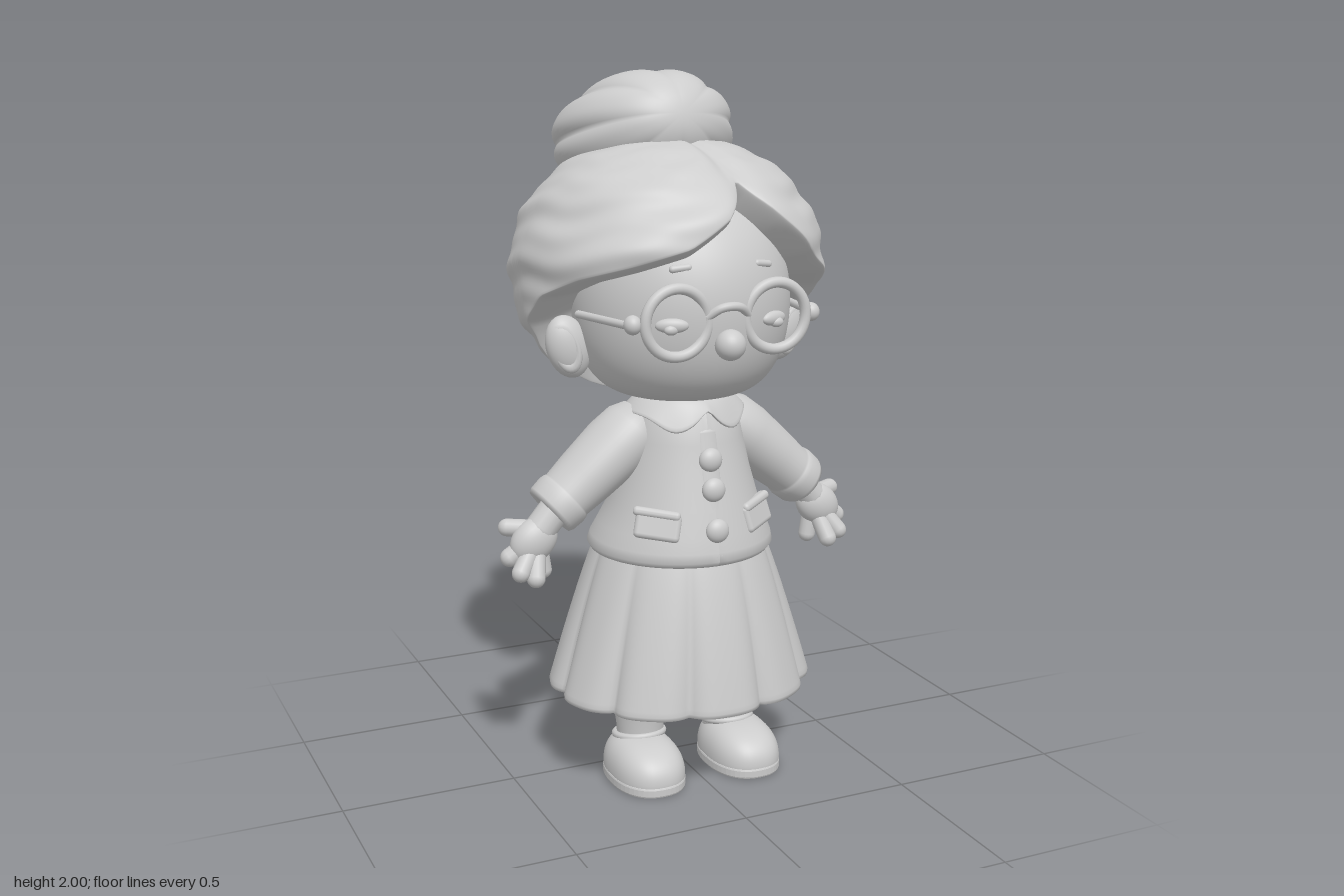
import * as THREE from 'three';
import { ParametricGeometry } from 'three/addons/geometries/ParametricGeometry.js';
import { RoundedBoxGeometry } from 'three/addons/geometries/RoundedBoxGeometry.js';
import { mergeVertices } from 'three/addons/utils/BufferGeometryUtils.js';

const { sin, cos, PI, abs, pow, exp, acos, sign, min, max } = Math;
const V = (x, y, z) => new THREE.Vector3(x, y, z);
const lerp = THREE.MathUtils.lerp;
const UP = V(0, 1, 0);

export function createModel() {
  const model = new THREE.Group();
  const clay = new THREE.MeshStandardMaterial({ color: 0xcccccc, side: THREE.DoubleSide });
  clay.name = 'lightGrey';

  const add = (name, geo, x = 0, y = 0, z = 0) => {
    const m = new THREE.Mesh(geo, clay);
    m.name = name;
    m.position.set(x, y, z);
    model.add(m);
    return m;
  };
  // Surface wrapped around the y axis: fn(angle from the front, v going down) -> [x, y, z], welded at the seam
  const wrap = (fn, around, down) => {
    const g = new ParametricGeometry((u, v, t) => t.set(...fn(PI - 2 * PI * u, v)), around, down);
    g.deleteAttribute('uv');
    g.deleteAttribute('normal');
    const welded = mergeVertices(g, 1e-5);
    welded.computeVertexNormals();
    return welded;
  };
  const blob = (rx, ry, rz) => wrap((a, v) => {
    const s = sin(v * PI);
    return [rx * s * sin(a), ry * cos(v * PI), rz * s * cos(a)];
  }, 32, 16);
  // Align a part built along y so that it runs from a to b
  const aim = (m, a, b) => { m.quaternion.setFromUnitVectors(UP, b.clone().sub(a).normalize()); return m; };
  const rod = (name, a, b, r) => {
    const c = a.clone().lerp(b, 0.5);
    return aim(add(name, new THREE.CapsuleGeometry(r, a.distanceTo(b), 6, 14), c.x, c.y, c.z), a, b);
  };
  const lathe = (pts, n = 40) => new THREE.LatheGeometry(pts.map(([r, y]) => new THREE.Vector2(r, y)), n);

  // Head with full cheeks, nose and neck
  add('head', wrap((a, v) => {
    const c = cos(v * PI), s = pow(max(0, sin(v * PI)), c < 0 ? 0.47 : 0.7);
    return [0.305 * s * sin(a), (c < 0 ? 0.268 : 0.3) * c, 0.315 * s * cos(a)];
  }, 64, 48), 0, 1.38, 0.06);
  add('nose', blob(0.042, 0.042, 0.042), 0, 1.3, 0.378);
  add('neck', new THREE.CylinderGeometry(0.11, 0.12, 0.16, 28), 0, 1.11, 0.075);

  // Hair: a cap whose lower edge follows the hairline (degrees from the front, height)
  const hairline = [[-180, 1.115], [-115, 1.115], [-100, 1.2], [-91, 1.33], [-75, 1.42], [-55, 1.475], [-35, 1.515],
    [-15, 1.56], [0, 1.63], [9, 1.7], [13, 1.74], [17, 1.7], [25, 1.625], [38, 1.535], [55, 1.465], [75, 1.405],
    [91, 1.33], [100, 1.2], [115, 1.115], [180, 1.115]];
  const edgeAt = (d) => {
    let i = 0;
    while (i < hairline.length - 2 && hairline[i + 1][0] < d) i++;
    const [d0, y0] = hairline[i], [d1, y1] = hairline[i + 1];
    return lerp(y0, y1, min(1, max(0, (d - d0) / (d1 - d0))));
  };
  add('hair', wrap((a, v) => {
    const d = a * 180 / PI, thEdge = acos((edgeAt(d) - 1.46) / 0.36);
    const s = max(0, (v - 0.82) / 0.18) * PI / 2;
    const th = thEdge * min(1, v / 0.82) + 0.06 * sin(s);
    const ring = pow(max(0, sin(th)), th > PI / 2 ? 0.76 : 0.85), far = min(1, abs(d - 13) / 30);
    // Strands sweep away from the parting and meet at the back
    const sweep = acos(cos(a - 0.23));
    const strands = 0.012 * far * ring * sin(13 * th - 2.6 * sweep + 0.9 * sin(5 * a + 2 * th))
      + 0.006 * far * ring * sin(27 * th - 4 * sweep + sin(7 * a));
    const parting = 0.09 * exp(-pow((d - 13) / 8, 2)) * ring;
    // The fringe swells towards its edge, and the back is slightly square
    const swell = 0.07 * exp(-pow((v - 0.78) / 0.2, 2)) * exp(-pow((d + 5) / 50, 4));
    const square = cos(a) < 0 ? pow(pow(abs(sin(a)), 2.4) + pow(abs(cos(a)), 2.4), -1 / 2.4) : 1;
    const k = (1 + strands - parting + swell) * (1 - 0.34 * (1 - cos(s)));
    return [0.442 * ring * sin(a) * k * square, 1.46 + 0.36 * cos(th) * (k - swell), -0.01 + 0.4 * ring * cos(a) * k * square];
  }, 180, 80));

  // Bun: an egg with lobes running from front to back
  const bun = add('hairBun', wrap((a, v) => {
    const th = v * PI, s = pow(max(0, sin(th)), 0.84), z = cos(th);
    const lobe = 1 - 0.085 * pow(1 - abs(sin(4 * a)), 1.5) * s;
    return [0.26 * s * (1 - 0.14 * z) * lobe * sin(a), 0.258 * z, 0.176 * s * lobe * cos(a)];
  }, 128, 40), 0, 1.82, -0.168);
  bun.rotation.x = PI / 2 - 0.27;

  // Face details, ears and glasses
  for (const s of [1, -1]) {
    const side = s > 0 ? 'left' : 'right';
    const ear = add(side + 'Ear', blob(0.062, 0.09, 0.045), s * 0.33, 1.265, 0.045);
    ear.rotation.z = -s * 0.3;
    const rim = add(side + 'EarRim', new THREE.TorusGeometry(0.034, 0.011, 10, 28), s * 0.345, 1.265, 0.07);
    rim.scale.set(0.9, 1.6, 1);
    rim.rotation.set(0, s * 0.35, -s * 0.3);
    const eye = add(side + 'Eye', blob(0.045, 0.02, 0.016), s * 0.15, 1.355, 0.336);
    eye.rotation.y = s * 0.4;
    add(side + 'Eyelid', blob(0.02, 0.014, 0.014), s * 0.155, 1.345, 0.343);
    rod(side + 'Brow', V(s * 0.1, 1.505, 0.33), V(s * 0.14, 1.5, 0.318), 0.01);

    add(side + 'GlassesRing', new THREE.TorusGeometry(0.09, 0.015, 14, 48), s * 0.145, 1.365, 0.357);
    add(side + 'GlassesHinge', blob(0.024, 0.026, 0.026), s * 0.262, 1.365, 0.337);
    rod(side + 'GlassesArm', V(s * 0.272, 1.363, 0.33), V(s * 0.315, 1.36, 0.09), 0.011);
  }
  const bridge = new THREE.CatmullRomCurve3([V(-0.06, 1.375, 0.36), V(-0.025, 1.4, 0.38), V(0.025, 1.4, 0.38), V(0.06, 1.375, 0.36)]);
  add('glassesBridge', new THREE.TubeGeometry(bridge, 16, 0.012, 10));

  // Jacket body, set forward above the hem so that the back flares out
  const jacket = lathe([[0.2, 0.7], [0.24, 0.672], [0.258, 0.67], [0.267, 0.685], [0.26, 0.71], [0.242, 0.75],
    [0.212, 0.82], [0.187, 0.91], [0.167, 1.0], [0.15, 1.08], [0.115, 1.12]], 64);
  const jp = jacket.attributes.position;
  for (let i = 0; i < jp.count; i++) jp.setZ(i, jp.getZ(i) + 0.055 + 0.03 * min(1, max(0, jp.getY(i) - 0.67) / 0.15));
  jacket.computeVertexNormals();
  add('jacket', jacket);
  const placket = rod('jacketPlacket', V(0, 0.7, 0.308), V(0, 1.03, 0.232), 0.016);
  placket.scale.x = 2.2;
  [[0.96, 0.262], [0.88, 0.283], [0.77, 0.308]].forEach(([y, z], i) =>
    add('button' + (i + 1), blob(0.034, 0.034, 0.024), 0, y, z));

  // Collar: a rounded band that drops into two front flaps
  add('collar', wrap((a, v) => {
    const d = abs(a) * 180 / PI, fall = min(1, v / 0.8);
    const drop = 0.045 + 0.04 * exp(-pow((d - 30) / 22, 2)) - 0.02 * exp(-pow(d / 9, 2));
    const r = 0.115 + 0.056 * pow(fall, 0.7) - 0.025 * max(0, v - 0.8) / 0.2 + drop * 0.1;
    return [r * sin(a), 1.125 - drop * fall * 1.05, 0.083 + r * (d < 90 ? 0.95 : 0.82) * cos(a)];
  }, 72, 12));

  // Rounded, slightly square footprint shared by soles and shoe uppers
  const footprint = (a) => [sign(sin(a)) * pow(abs(sin(a)), 0.85), sign(cos(a)) * pow(abs(cos(a)), 0.85)];
  const outline = [];
  for (let i = 0; i < 48; i++) {
    const [x, z] = footprint(i / 48 * 2 * PI);
    outline.push(new THREE.Vector2(0.1 * x, 0.145 * z));
  }
  const foot = new THREE.Shape(outline);
  const sleeveProfile = [[0.03, -0.045], [0.07, -0.03], [0.088, 0.01], [0.092, 0.08], [0.084, 0.2], [0.077, 0.27],
    [0.08, 0.275], [0.083, 0.29], [0.08, 0.325], [0.074, 0.338], [0.04, 0.332]];

  // Pockets, sleeves, hands, legs and shoes
  for (const s of [1, -1]) {
    const side = s > 0 ? 'left' : 'right';
    const pocket = add(side + 'Pocket', new RoundedBoxGeometry(0.13, 0.08, 0.03, 3, 0.014), s * 0.15, 0.785, 0.243);
    pocket.rotation.set(-0.28, s * 0.6, s * 0.1, 'YXZ');
    const flap = add(side + 'PocketFlap', new RoundedBoxGeometry(0.135, 0.026, 0.034, 3, 0.012), s * 0.149, 0.818, 0.236);
    flap.rotation.copy(pocket.rotation);

    const shoulder = V(s * 0.14, 1.025, 0.06), wrist = V(s * 0.395, 0.81, 0.06);
    const sleeve = aim(add(side + 'Sleeve', lathe(sleeveProfile), shoulder.x, shoulder.y, shoulder.z), shoulder, wrist);
    sleeve.scale.z = 1.15;

    rod(side + 'Wrist', V(s * 0.37, 0.83, 0.065), V(s * 0.425, 0.765, 0.065), 0.045);
    aim(add(side + 'Palm', blob(0.06, 0.074, 0.046), s * 0.448, 0.733, 0.068), shoulder, wrist);
    const fingers = [[0.45, 0.765, 0.06, 0.512, 0.767, 0.028, 0.025], [0.465, 0.725, 0.07, 0.516, 0.69, 0.06, 0.027],
      [0.46, 0.71, 0.08, 0.5, 0.655, 0.105, 0.026], [0.445, 0.7, 0.08, 0.46, 0.637, 0.115, 0.026],
      [0.43, 0.71, 0.06, 0.42, 0.642, 0.06, 0.025]];
    fingers.forEach(([x, y, z, x2, y2, z2, r], i) =>
      rod(side + (i ? 'Finger' + i : 'Thumb'), V(s * x, y, z), V(s * x2, y2, z2), r));

    add(side + 'Leg', lathe([[0.066, 0.06], [0.069, 0.14], [0.077, 0.2], [0.087, 0.27], [0.09, 0.42]], 32), s * 0.138, 0, 0.086);
    const opening = add(side + 'ShoeOpening', new THREE.TorusGeometry(0.07, 0.01, 10, 32), s * 0.142, 0.118, 0.087);
    opening.rotation.x = PI / 2 - 0.15;

    const sole = add(side + 'Sole', new THREE.ExtrudeGeometry(foot, {
      depth: 0.018, bevelEnabled: true, bevelThickness: 0.006, bevelSize: 0.006, bevelSegments: 2,
    }), s * 0.152, 0.006, 0.145);
    sole.rotation.x = -PI / 2;
    // Shoe upper: a full dome
    add(side + 'Shoe', wrap((a, v) => {
      const th = v * (PI / 2 + 0.2), r = pow(sin(th), 0.72), [x, z] = footprint(a);
      return [0.105 * r * x, 0.03 + (0.1 - 0.01 * r * z) * pow(max(0, cos(th)), 0.85), 0.15 * r * z];
    }, 48, 20), s * 0.152, 0, 0.145);
  }

  // Skirt with ten box pleats, a rolled hem and an inner lining
  add('skirt', wrap((a, v) => {
    const t = min(1, v / 0.8), s = max(0, (v - 0.8) / 0.2);
    const pleat = 1 - (0.02 + 0.06 * t) * pow(1 - abs(cos(5 * a)), 2);
    const r = lerp(0.24, 0.386, pow(t, 0.9)) - 0.09 * s * s;
    const y = lerp(0.7, 0.272, t) - 0.012 * sin(min(1, s * 3) * PI) + 0.09 * pow(s, 3);
    return [r * pleat * sin(a), y, 0.06 + r * (1 - 0.1 * t) * pleat * cos(a)];
  }, 180, 40));
  const lining = add('skirtLining', new THREE.CircleGeometry(0.29, 40), 0, 0.36, 0.06);
  lining.rotation.x = PI / 2;

  return model;
}
